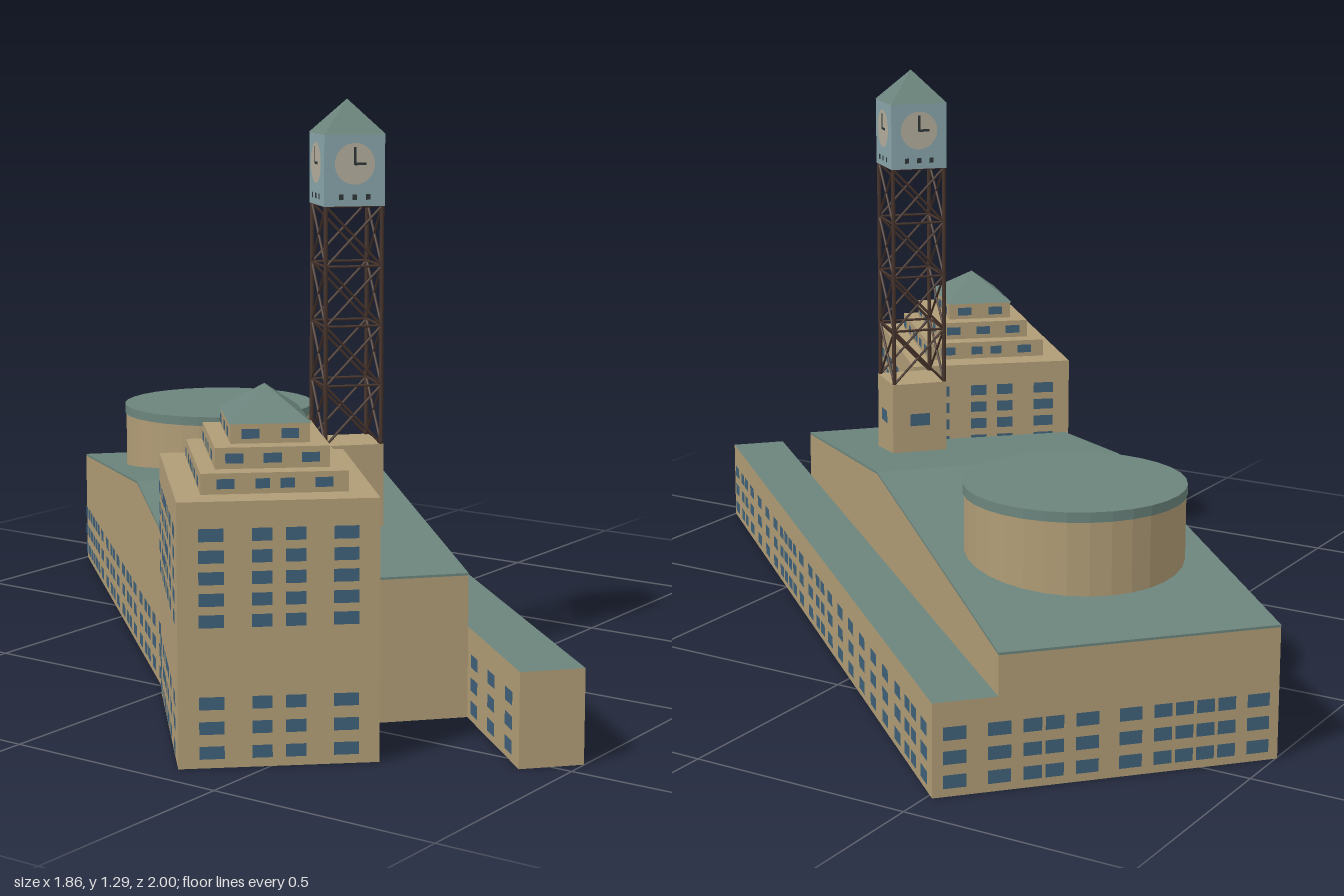
import * as THREE from 'three';
import { mergeGeometries } from 'three/addons/utils/BufferGeometryUtils.js';

const mat = (name, color, flat = false) => {
  const m = new THREE.MeshStandardMaterial({ color, flatShading: flat });
  m.name = name;
  return m;
};

export function createModel() {
  const stone = mat('tan stone', 0xb09c76, true);
  const roof = mat('green copper roof', 0x6b847c, true);
  const glass = mat('blue window glass', 0x3f6078);
  const panel = mat('pale blue cladding', 0x88a4aa);
  const steel = mat('dark brown steel', 0x46332b);
  const dial = mat('clock dial', 0xb3ad9c);
  const dark = mat('dark clock hands', 0x2e3436);

  const model = new THREE.Group();
  model.name = 'stationBuilding';
  const site = new THREE.Group();
  site.name = 'site';
  site.rotation.y = 0.836;
  model.add(site);

  const add = (parent, name, geo, material, x = 0, y = 0, z = 0) => {
    const m = new THREE.Mesh(geo, material);
    m.name = name;
    m.position.set(x, y, z);
    parent.add(m);
    return m;
  };
  // Box standing on y0, reaching y1
  const block = (parent, name, w, d, y0, y1, material, x = 0, z = 0) =>
    add(parent, name, new THREE.BoxGeometry(w, y1 - y0, d), material, x, (y0 + y1) / 2, z);
  const pyramid = (parent, name, w, d, y0, y1) => {
    const g = new THREE.ConeGeometry(Math.SQRT1_2, 1, 4).rotateY(Math.PI / 4);
    return add(parent, name, g.scale(w, y1 - y0, d), roof, 0, (y0 + y1) / 2, 0);
  };
  // Window rows on a wall centred at (x, z) and turned by angle;
  // pattern: s = single window, c = close pair, - = blank
  const windows = (parent, name, x, z, angle, length, pattern, rows, w = 0.048, h = 0.028) => {
    const parts = [], slot = length / pattern.length;
    [...pattern].forEach((type, i) => {
      const u = -length / 2 + slot * (i + 0.5);
      const offsets = type === 's' ? [0] : type === 'c' ? [-0.25 * slot, 0.25 * slot] : [];
      for (const o of offsets) for (const y of rows) {
        parts.push(new THREE.PlaneGeometry(type === 'c' ? w * 0.8 : w, h).translate(u + o, y, 0.003));
      }
    });
    add(parent, name, mergeGeometries(parts), glass, x, 0, z).rotation.y = angle;
  };
  const lowRows = [0.032, 0.082, 0.132];
  const Q = Math.PI / 2;

  // Low annex along the front, copper top
  block(site, 'annex', 2.038, 0.135, 0, 0.197, [stone, stone, roof, stone, stone, stone], -0.023, 0.2695);
  windows(site, 'annexWindows', -0.023, 0.337, 0, 2.038, 'scssssccsscssssssscs', lowRows);
  windows(site, 'annexRearWindows', -0.86, 0.202, Math.PI, 0.36, 'sss', lowRows);

  // Main hall with shallow ridged roof
  const prism = (points, depth) => new THREE.ExtrudeGeometry(
    new THREE.Shape(points.map(p => new THREE.Vector2(...p))), { depth, bevelEnabled: false });
  const top = [[-0.683, 0.307], [0.035, 0.39], [0.996, 0.282]];
  add(site, 'hall', prism([[-0.683, 0], [0.996, 0], ...[...top].reverse()], 0.595), stone, 0, 0, -0.393);
  add(site, 'hallRoof', prism([...top, ...top.map(([x, y]) => [x, y + 0.005]).reverse()], 0.595),
    roof, 0, 0, -0.393);
  windows(site, 'hallRearWindows', 0.31, -0.393, Math.PI, 1.37, 'cccsscsscsscss', lowRows);
  windows(site, 'hallEndWindows', 0.996, -0.028, Q, 0.73, 'sscssccs', lowRows);

  // Round drum on the hall roof
  add(site, 'drum', new THREE.CylinderGeometry(0.238, 0.238, 0.2, 32), stone, 0.554, 0.37, -0.103);
  add(site, 'drumLid', new THREE.CylinderGeometry(0.241, 0.241, 0.022, 32), roof, 0.554, 0.48, -0.103);

  // Stepped office block
  const office = new THREE.Group();
  office.name = 'officeBlock';
  office.position.set(-0.653, 0, -0.228);
  office.rotation.y = -0.095;
  site.add(office);
  const ring = (name, w, d, longPattern, shortPattern, rows, ww, hh) => {
    [[0, d / 2, 0, w, longPattern], [0, -d / 2, Math.PI, w, longPattern],
      [w / 2, 0, Q, d, shortPattern], [-w / 2, 0, -Q, d, shortPattern]]
      .forEach(([x, z, a, len, pat]) => windows(office, name, x, z, a, len, pat, rows, ww, hh));
  };
  block(office, 'officeBody', 0.535, 0.4, 0, 0.535, stone);
  ring('officeWindows', 0.535, 0.4, 'sccss', 'scs',
    [...lowRows, 0.297, 0.34, 0.383, 0.426, 0.469], 0.05, 0.026);
  [[0.396, 0.295, 0.535, 0.577, 'sscss', 'scs'],
    [0.308, 0.23, 0.577, 0.62, 'scs', 'sss'],
    [0.223, 0.16, 0.62, 0.66, 'sss', 'ss']].forEach(([w, d, y0, y1, a, b]) => {
    block(office, 'officeTier', w, d, y0, y1, stone);
    ring('tierWindows', w, d, a, b, [(y0 + y1) / 2], 0.036, 0.02);
  });
  pyramid(office, 'officeRoof', 0.23, 0.166, 0.66, 0.725);

  // Clock tower
  const tower = new THREE.Group();
  tower.name = 'clockTower';
  tower.position.set(-0.297, 0, 0.029);
  tower.rotation.y = 0.02;
  site.add(tower);
  const side = 0.136, h = 0.063;
  block(tower, 'towerBase', side, side, 0.3, 0.535, stone);

  // Braced steel frame: posts, rails and crossed diagonals
  const struts = [];
  const strut = (a, b, r) => {
    const p = new THREE.Vector3(...a), q = new THREE.Vector3(...b);
    const dir = q.clone().sub(p), len = dir.length();
    const turn = new THREE.Quaternion().setFromUnitVectors(new THREE.Vector3(0, 1, 0), dir.normalize());
    const mid = p.add(q).multiplyScalar(0.5);
    struts.push(new THREE.CylinderGeometry(r, r, len, 6).applyQuaternion(turn).translate(mid.x, mid.y, mid.z));
  };
  const corners = [[-h, -h], [h, -h], [h, h], [-h, h]];
  const y0 = 0.535, bay = 0.13125;
  corners.forEach(([x, z], i) => {
    const [x2, z2] = corners[(i + 1) % 4];
    strut([x, y0, z], [x, y0 + 4 * bay, z], 0.005);
    for (let k = 0; k < 4; k++) {
      const a = y0 + k * bay, b = a + bay;
      strut([x, a, z], [x2, b, z2], 0.003);
      strut([x2, a, z2], [x, b, z], 0.003);
      strut([x, b, z], [x2, b, z2], 0.003);
    }
  });
  add(tower, 'steelFrame', mergeGeometries(struts), steel);

  block(tower, 'clockHead', side, side, 1.06, 1.215, panel);
  pyramid(tower, 'clockRoof', side + 0.003, side + 0.003, 1.215, 1.29);

  // Clock, small openings and base window on each side
  for (let i = 0; i < 4; i++) {
    const face = new THREE.Group();
    face.name = 'clockSide';
    face.rotation.y = i * Q;
    tower.add(face);
    const z = side / 2;
    add(face, 'clockDial', new THREE.CircleGeometry(0.045, 32), dial, 0, 1.152, z + 0.002);
    add(face, 'minuteHand', new THREE.PlaneGeometry(0.006, 0.038), dark, 0, 1.169, z + 0.004);
    add(face, 'hourHand', new THREE.PlaneGeometry(0.026, 0.006), dark, 0.012, 1.152, z + 0.004);
    for (const x of [-0.03, 0, 0.03]) {
      add(face, 'headOpening', new THREE.PlaneGeometry(0.01, 0.012), dark, x, 1.08, z + 0.002);
    }
    add(face, 'baseWindow', new THREE.PlaneGeometry(0.05, 0.03), glass, 0, 0.445, z + 0.003);
  }
  return model;
}
